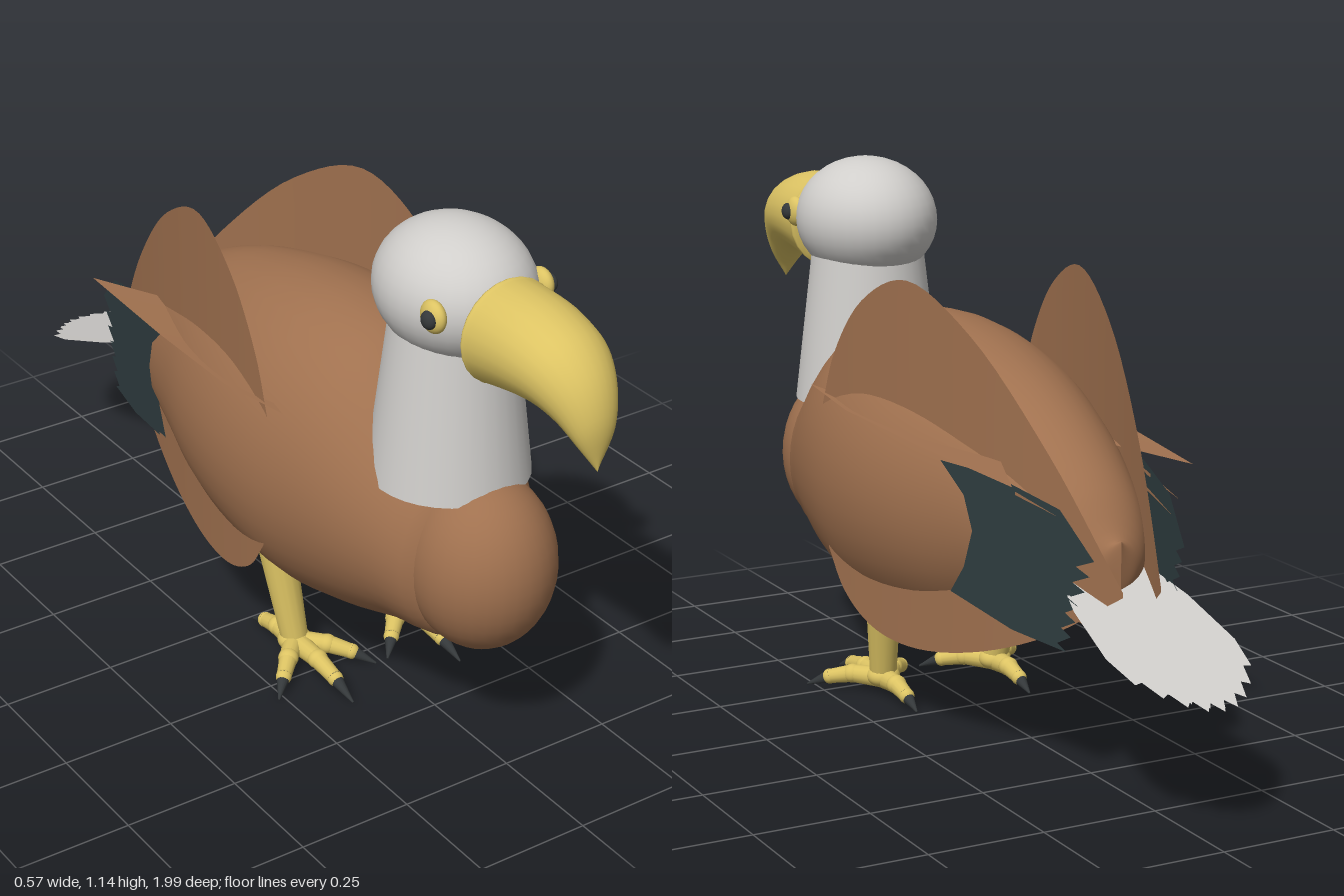
import * as THREE from 'three';

const mat = (name, color, side = THREE.FrontSide) => {
  const m = new THREE.MeshStandardMaterial({ color, side });
  m.name = name;
  return m;
};
const V = (x, y, z) => new THREE.Vector3(x, y, z);

// Smooth loft through oval rings: [halfWidth, topZ, topY, bottomZ, bottomY], ordered back to front
function loft(rows, steps, sides) {
  const top = new THREE.CatmullRomCurve3(rows.map(r => V(r[0], r[2], r[1])));
  const bottom = new THREE.CatmullRomCurve3(rows.map(r => V(r[0], r[4], r[3])));
  const pos = [], index = [];
  for (let i = 0; i <= steps; i++) {
    const t = top.getPoint(i / steps), b = bottom.getPoint(i / steps);
    for (let j = 0; j < sides; j++) {
      const a = (j / sides) * Math.PI * 2, s = Math.sin(a) / 2;
      pos.push(Math.max(0, t.x) * Math.cos(a), (t.y + b.y) / 2 + (t.y - b.y) * s, (t.z + b.z) / 2 + (t.z - b.z) * s);
      if (i === steps) continue;
      const k = i * sides, n = (j + 1) % sides;
      index.push(k + j, k + n, k + sides + j, k + n, k + sides + n, k + sides + j);
    }
  }
  const g = new THREE.BufferGeometry();
  g.setAttribute('position', new THREE.Float32BufferAttribute(pos, 3));
  g.setIndex(index);
  g.computeVertexNormals();
  return g;
}

// Flat outline moved into space by a rule (u, v) -> point
function plate(points, rule) {
  const g = new THREE.ShapeGeometry(new THREE.Shape(points.map(p => new THREE.Vector2(p[0], p[1]))));
  const p = g.attributes.position;
  for (let i = 0; i < p.count; i++) p.setXYZ(i, ...rule(p.getX(i), p.getY(i)));
  g.computeVertexNormals();
  return g;
}

export function createModel() {
  const root = new THREE.Group();
  root.name = 'bird';
  const brown = mat('brown plumage', 0xa0714f);
  const wingBrown = mat('brown wing', 0xa0714f, THREE.DoubleSide);
  const white = mat('white plumage', 0xd0cecb);
  const tailWhite = mat('white tail', 0xd0cecb, THREE.DoubleSide);
  const yellow = mat('yellow', 0xdcc363);
  const slate = mat('dark feathers', 0x2f3d40, THREE.DoubleSide);
  const black = mat('dark claw', 0x34383a);

  const add = (parent, name, geo, m, x = 0, y = 0, z = 0) => {
    const mesh = new THREE.Mesh(geo, m);
    mesh.name = name;
    mesh.position.set(x, y, z);
    parent.add(mesh);
    return mesh;
  };
  const ball = (parent, name, m, x, y, z, rx, ry, rz) =>
    add(parent, name, new THREE.SphereGeometry(1, 32, 20), m, x, y, z).scale.set(rx, ry, rz);
  const rod = (parent, name, a, b, ra, rb, m) => {
    const d = b.clone().sub(a), c = a.clone().add(b).multiplyScalar(0.5);
    const mesh = add(parent, name, new THREE.CylinderGeometry(rb, ra, d.length(), 14), m, c.x, c.y, c.z);
    mesh.quaternion.setFromUnitVectors(V(0, 1, 0), d.normalize());
  };

  // Body and breast
  const body = [[0, -0.61, 0.46, 0.06], [0.05, -0.59, 0.46, 0.06], [0.115, -0.52, 0.48, 0.13], [0.165, -0.4, 0.5, 0.2],
    [0.212, -0.25, 0.51, 0.265], [0.258, -0.1, 0.51, 0.31], [0.283, 0.05, 0.51, 0.338], [0.282, 0.2, 0.507, 0.348],
    [0.255, 0.35, 0.505, 0.32], [0.207, 0.5, 0.475, 0.245], [0.15, 0.62, 0.44, 0.185], [0, 0.66, 0.44, 0.02]];
  add(root, 'body', loft(body.map(([w, z, y, h]) => [w, z, y + h, z, y - h]), 44, 40), brown);
  ball(root, 'breast', brown, 0, 0.443, 0.64, 0.152, 0.192, 0.163);

  // Neck and head
  const neck = new THREE.CylinderGeometry(0.128, 0.167, 0.33, 32, 1, true);
  add(root, 'neck', neck, white, 0, 0.765, 0.525);
  ball(root, 'head', white, 0, 1.01, 0.53, 0.156, 0.14, 0.178);

  // Hooked beak
  add(root, 'beak', loft([
    [0, 0.69, 0.99, 0.69, 0.97], [0.11, 0.695, 1.09, 0.7, 0.872], [0.11, 0.71, 1.09, 0.71, 0.875],
    [0.104, 0.82, 1.083, 0.8, 0.892], [0.092, 0.91, 1.053, 0.865, 0.897],
    [0.07, 0.968, 0.995, 0.915, 0.88], [0.042, 0.995, 0.915, 0.955, 0.847], [0, 0.985, 0.81, 0.98, 0.81],
  ], 36, 24), yellow);

  // Tail fan with a toothed end
  const tail = [[-0.09, -0.5], [-0.13, -0.65], [-0.145, -0.8]];
  for (let i = 0; i <= 16; i++) {
    const x = -0.13 + i * 0.01625;
    tail.push([x, -0.995 + 6.6 * x * x + (i % 2 ? 0.03 : 0)]);
  }
  tail.push([0.145, -0.8], [0.13, -0.65], [0.09, -0.5]);
  for (let k = 0; k < 2; k++) {
    add(root, 'tailFeathers', plate(tail, (x, z) => [x * (1 - k * 0.12), 0.28 + (z + 1) * 0.355 + k * 0.008 * (-z - 0.3), z]), tailWhite);
  }

  // Outlines of the wing's upper and lower edges, front to back
  const edge = pts => new THREE.CatmullRomCurve3(pts.map(([z, y]) => V(0, y, z)));
  const upper = edge([[0.24, 0.66], [0.19, 0.78], [0.08, 0.91], [-0.08, 0.975], [-0.28, 0.89], [-0.5, 0.685], [-0.69, 0.44]]);
  const lower = edge([[0.22, 0.34], [0.16, 0.26], [0.06, 0.205], [-0.08, 0.19], [-0.28, 0.225], [-0.5, 0.31], [-0.69, 0.43]]);
  const wingX = z => 0.25 + 0.136 * (z - 0.25) - 0.138 * (z - 0.25) * (z + 0.08);

  // Dark flight feathers, outline in (z, y)
  const flight = [[-0.24, 0.63], [-0.4, 0.628], [-0.58, 0.595]];
  for (let i = 0; i <= 6; i++) {
    const t = i / 6;
    flight.push([-0.675 + 0.075 * t, 0.51 - 0.2 * t]);
    if (i < 6) flight.push([-0.625 + 0.06 * t, 0.49 - 0.2 * t]);
  }
  flight.push([-0.45, 0.32], [-0.27, 0.36], [-0.31, 0.42], [-0.335, 0.5], [-0.31, 0.57]);

  for (const s of [1, -1]) {
    const side = new THREE.Group();
    side.name = s > 0 ? 'leftSide' : 'rightSide';
    side.scale.x = s;
    root.add(side);

    // Eye
    ball(side, 'eye', yellow, 0.128, 1.02, 0.635, 0.02, 0.034, 0.034);
    ball(side, 'pupil', black, 0.144, 1.02, 0.642, 0.014, 0.019, 0.019);

    // Curved wing sheet
    const wing = new THREE.PlaneGeometry(1, 1, 36, 10), p = wing.attributes.position;
    for (let i = 0; i < p.count; i++) {
      const t = p.getX(i) + 0.5;
      const q = lower.getPoint(t).lerp(upper.getPoint(t), p.getY(i) + 0.5);
      p.setXYZ(i, wingX(q.z), q.y, q.z);
    }
    wing.computeVertexNormals();
    add(side, 'wing', wing, wingBrown);

    // Flight feathers in two close layers
    for (let k = 0; k < 2; k++) {
      add(side, 'flightFeathers', plate(flight, (z, y) => [0.2 + (z + 0.28) * 0.24 - k * 0.01, y - k * 0.006, z + k * 0.008]), slate);
    }

    // Folded covert flap, outline in (x, z), with long thin feathers behind it
    add(side, 'covertFlap', plate([[0.25, 0.3], [0.262, 0.1], [0.24, -0.2], [0.207, -0.54], [0.16, -0.42], [0.1, -0.27], [0.17, 0]],
      (x, z) => [x, 0.665 + (z > 0 ? 0.09 * z : 0.05 * z), z]), wingBrown);
    for (const [x, z, y] of [[0.1, -0.64, 0.575], [0.14, -0.6, 0.595]]) {
      add(side, 'longFeather', plate([[0, 0], [1, 0.4], [0, 1]],
        (u, v) => [0.2 + (x - 0.2) * u, 0.66 + (y - 0.66) * u - 0.025 * v, -0.1 + (z + 0.1) * u]), wingBrown);
    }

    // Leg and foot
    const foot = new THREE.Group();
    foot.name = 'leg';
    foot.position.set(0.14, 0, 0.175);
    side.add(foot);
    rod(foot, 'shin', V(0, 0.05, 0), V(0.022, 0.31, -0.05), 0.03, 0.043, yellow);
    ball(foot, 'ankle', yellow, 0, 0.045, 0, 0.037, 0.026, 0.037);
    for (const [x, z] of [[0, 0.225], [0.125, 0.13], [-0.125, 0.13], [0, -0.165]]) {
      const at = (t, y) => V(x * t, y, z * t);
      rod(foot, 'toeBase', at(0, 0.04), at(0.4, 0.042), 0.024, 0.02, yellow);
      ball(foot, 'knuckle', yellow, x * 0.4, 0.042, z * 0.4, 0.022, 0.021, 0.022);
      rod(foot, 'toeEnd', at(0.4, 0.042), at(0.7, 0.03), 0.02, 0.016, yellow);
      ball(foot, 'toeTip', yellow, x * 0.7, 0.03, z * 0.7, 0.017, 0.017, 0.017);
      rod(foot, 'claw', at(0.68, 0.032), at(1, 0.007), 0.0165, 0.002, black);
    }
  }
  return root;
}
